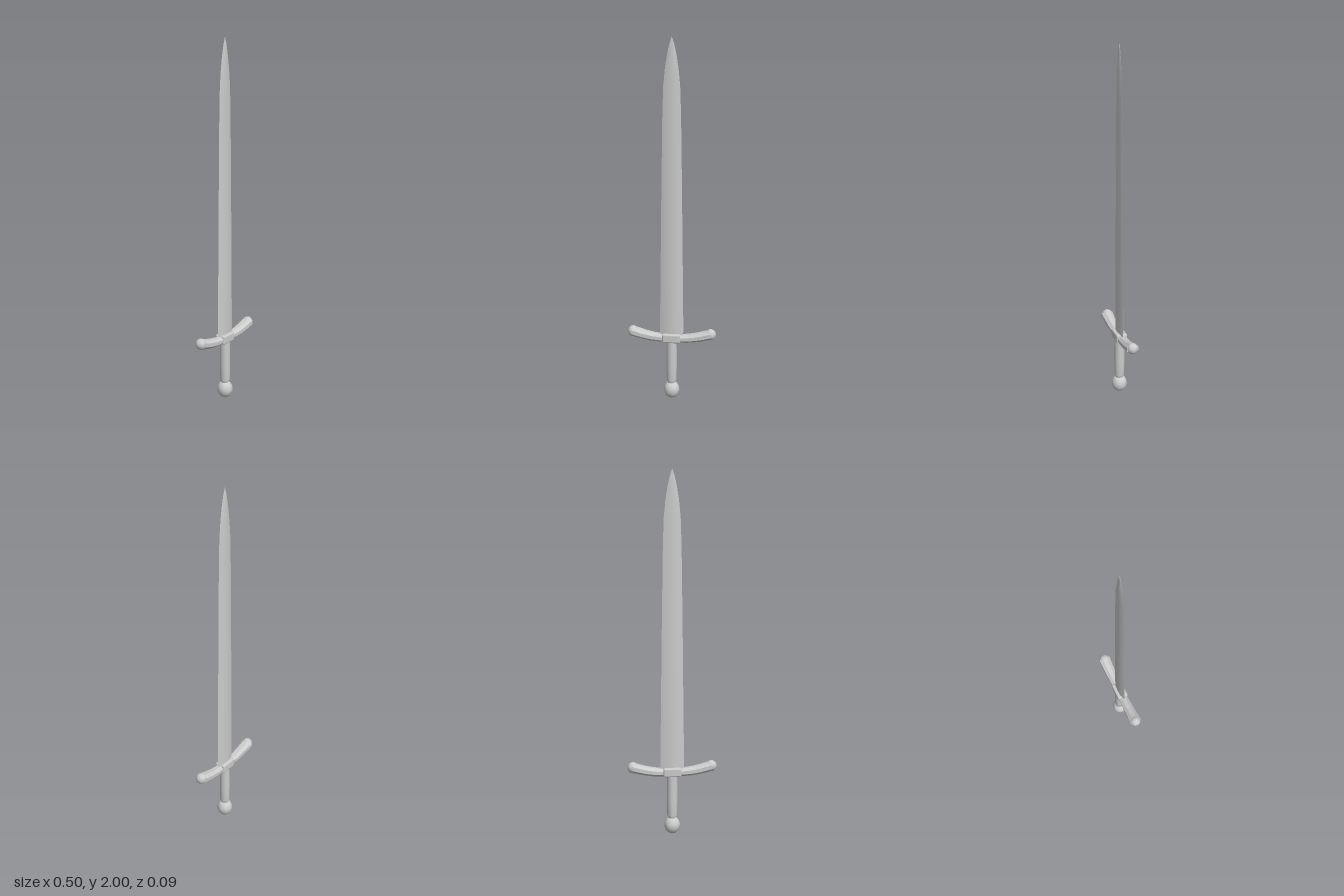
import * as THREE from 'three';
import { toCreasedNormals } from 'three/addons/utils/BufferGeometryUtils.js';
import { RoundedBoxGeometry } from 'three/addons/geometries/RoundedBoxGeometry.js';

const material = new THREE.MeshStandardMaterial({ color: 0xcccccc });

function part(name, geometry, x = 0, y = 0, z = 0) {
  const mesh = new THREE.Mesh(geometry, material);
  mesh.name = name;
  mesh.position.set(x, y, z);
  return mesh;
}

// Skin a list of equal-sized rings of Vector3 and cap both ends
function loft(rings, crease) {
  const n = rings[0].length;
  const pos = [];
  const tri = (...pts) => pts.forEach((p) => pos.push(p.x, p.y, p.z));
  for (let r = 0; r < rings.length - 1; r++) {
    for (let i = 0; i < n; i++) {
      const j = (i + 1) % n, a = rings[r], b = rings[r + 1];
      tri(a[i], a[j], b[j]);
      tri(a[i], b[j], b[i]);
    }
  }
  const first = rings[0], last = rings[rings.length - 1];
  for (let i = 1; i < n - 1; i++) {
    tri(first[0], first[i + 1], first[i]);
    tri(last[0], last[i], last[i + 1]);
  }
  const geometry = new THREE.BufferGeometry();
  geometry.setAttribute('position', new THREE.Float32BufferAttribute(pos, 3));
  return toCreasedNormals(geometry, crease);
}

// Blade: flattened diamond section tapering to a curved point
function bladeGeometry() {
  const section = [[1, 0], [0.9, 0.5], [0, 1], [-0.9, 0.5], [-1, 0], [-0.9, -0.5], [0, -1], [0.9, -0.5]];
  const stations = [ // y, half width, half thickness
    [0.36, 0.062, 0.014], [0.4, 0.066, 0.014], [0.8, 0.061, 0.013], [1.2, 0.056, 0.011],
    [1.6, 0.05, 0.009], [1.75, 0.045, 0.008], [1.84, 0.036, 0.007], [1.91, 0.025, 0.006],
    [1.96, 0.014, 0.004], [2.0, 0.001, 0.001],
  ];
  const rings = stations.map(([y, w, t]) =>
    section.map(([u, v]) => new THREE.Vector3(v * w, y, u * t)));
  return loft(rings, 0.6);
}

// Guard arm: octagonal bar, widening and curving up towards its end
function armGeometry() {
  const curve = new THREE.CatmullRomCurve3([
    [0, 0.354], [0.05, 0.355], [0.1, 0.359], [0.16, 0.37], [0.222, 0.387],
  ].map(([x, y]) => new THREE.Vector3(x, y, 0)));
  const rings = [];
  for (let k = 0; k <= 8; k++) {
    const t = k / 8, p = curve.getPoint(t), d = curve.getTangent(t);
    const up = new THREE.Vector3(-d.y, d.x, 0);
    const halfHeight = 0.02 + 0.006 * t, halfDepth = 0.023 + 0.01 * t;
    const ring = [];
    for (let i = 0; i < 8; i++) {
      const a = ((i + 0.5) / 8) * Math.PI * 2, s = 1 / Math.cos(Math.PI / 8);
      const q = p.clone().addScaledVector(up, Math.cos(a) * s * halfHeight);
      q.z = Math.sin(a) * s * halfDepth;
      ring.push(q);
    }
    rings.push(ring);
  }
  return loft(rings, 0.6);
}

export function createModel() {
  const sword = new THREE.Group();
  sword.name = 'sword';
  sword.add(part('blade', bladeGeometry()));

  // Guard: central block with two mirrored arms ending in knobs
  const guard = new THREE.Group();
  guard.name = 'guard';
  guard.add(part('guardBlock', new RoundedBoxGeometry(0.1, 0.05, 0.064, 2, 0.009), 0, 0.358, 0));
  for (const side of ['left', 'right']) {
    const arm = new THREE.Group();
    arm.name = side + 'GuardArm';
    arm.add(part('arm', armGeometry()));
    arm.add(part('knob', new THREE.SphereGeometry(0.031, 12, 8), 0.218, 0.386, 0));
    if (side === 'right') arm.rotation.y = Math.PI;
    guard.add(arm);
  }
  sword.add(guard);

  // Grip with a narrowed neck above the pommel
  const gripProfile = [[0.02, 0.08], [0.022, 0.096], [0.028, 0.108], [0.0295, 0.2], [0.0285, 0.34]]
    .map(([r, y]) => new THREE.Vector2(r, y));
  sword.add(part('grip', new THREE.LatheGeometry(gripProfile, 16)));

  // Round pommel, slightly taller than wide
  const pommel = part('pommel', new THREE.SphereGeometry(0.044, 16, 12), 0, 0.049, 0);
  pommel.scale.y = 0.049 / 0.044;
  sword.add(pommel);

  return sword;
}
